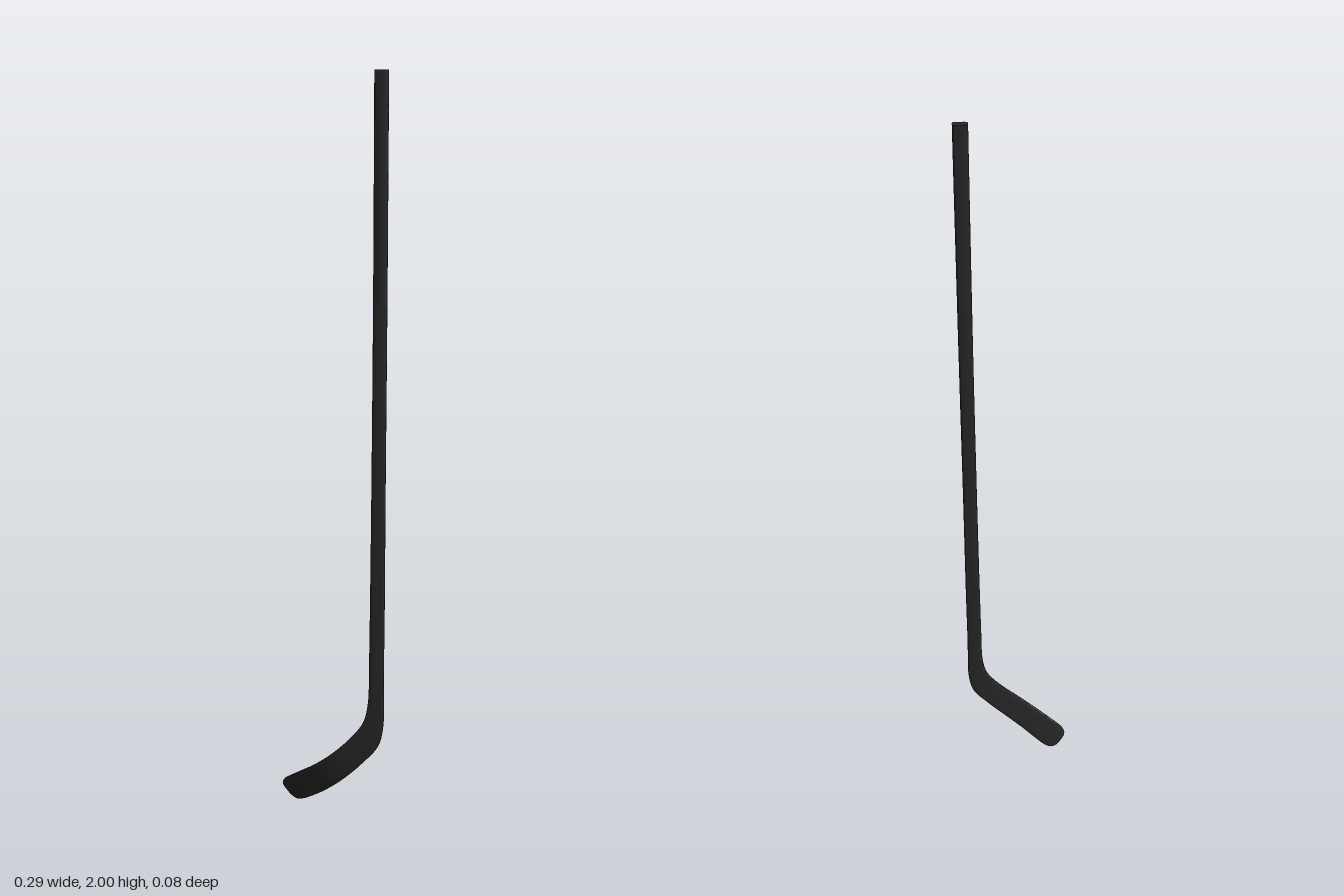
import * as THREE from 'three';
import { toCreasedNormals } from 'three/addons/utils/BufferGeometryUtils.js';

// Stations from butt end to toe: inner/top edge xyz, outer/bottom edge xyz, thickness
const shaftStations = [
  [0.108, 2.0, 0.026, 0.145, 2.0, 0.026, 0.022],
  [0.108, 1.4, 0.026, 0.145, 1.4, 0.026, 0.021],
  [0.106, 0.9, 0.026, 0.144, 0.9, 0.026, 0.018],
  [0.104, 0.6, 0.0265, 0.144, 0.6, 0.0265, 0.016],
  [0.102, 0.4, 0.027, 0.143, 0.4, 0.027, 0.013],
];
const bladeStations = [
  shaftStations[4],
  [0.1, 0.325, 0.027, 0.142, 0.25, 0.027, 0.011],
  [0.087, 0.265, 0.028, 0.128, 0.195, 0.025, 0.01],
  [0.05, 0.215, 0.028, 0.085, 0.143, 0.022, 0.009],
  [0.0, 0.168, 0.027, 0.03, 0.09, 0.015, 0.008],
  [-0.045, 0.133, 0.018, -0.02, 0.05, 0.001, 0.008],
  [-0.09, 0.103, 0.002, -0.06, 0.022, -0.018, 0.008],
  [-0.122, 0.082, -0.011, -0.09, 0.005, -0.032, 0.007],
  [-0.138, 0.07, -0.019, -0.108, 0.003, -0.036, 0.007],
  [-0.146, 0.056, -0.026, -0.124, 0.014, -0.037, 0.006],
  [-0.145, 0.045, -0.03, -0.136, 0.03, -0.034, 0.004],
];

// Skins a rounded-rectangle section along the two edge curves
function loft(stations, steps, capStart, capEnd) {
  const sides = 28;
  const edge = (o) => new THREE.CatmullRomCurve3(
    stations.map((s) => new THREE.Vector3(s[o], s[o + 1], s[o + 2])));
  const inner = edge(0);
  const outer = edge(3);
  const round = (v) => Math.sign(v) * Math.pow(Math.abs(v), 0.45);
  const centre = (t) => inner.getPoint(t).add(outer.getPoint(t)).multiplyScalar(0.5);
  const pos = [];
  const index = [];

  for (let i = 0; i <= steps; i++) {
    const t = i / steps;
    const c = centre(t);
    const u = outer.getPoint(t).sub(c);
    const tangent = centre(Math.min(1, t + 0.01)).sub(centre(Math.max(0, t - 0.01)));
    const f = t * (stations.length - 1);
    const k = Math.min(Math.floor(f), stations.length - 2);
    const thick = THREE.MathUtils.lerp(stations[k][6], stations[k + 1][6], f - k);
    const v = tangent.cross(u).normalize().multiplyScalar(thick / 2);
    for (let j = 0; j < sides; j++) {
      const a = (j / sides) * Math.PI * 2;
      const p = c.clone().addScaledVector(u, round(Math.cos(a))).addScaledVector(v, round(Math.sin(a)));
      pos.push(p.x, p.y, p.z);
    }
  }
  for (let i = 0; i < steps; i++) {
    for (let j = 0; j < sides; j++) {
      const a = i * sides + j;
      const b = i * sides + ((j + 1) % sides);
      index.push(a, b, a + sides, b, b + sides, a + sides);
    }
  }
  // End caps
  const cap = (t, ring, flip) => {
    const m = pos.length / 3;
    pos.push(...centre(t).toArray());
    for (let j = 0; j < sides; j++) {
      const a = ring * sides + j;
      const b = ring * sides + ((j + 1) % sides);
      index.push(m, flip ? b : a, flip ? a : b);
    }
  };
  if (capStart) cap(0, 0, true);
  if (capEnd) cap(1, steps, false);

  const geo = new THREE.BufferGeometry();
  geo.setAttribute('position', new THREE.Float32BufferAttribute(pos, 3));
  geo.setIndex(index);
  return toCreasedNormals(geo, 0.9);
}

export function createModel() {
  const group = new THREE.Group();
  group.name = 'hockeyStick';
  const black = new THREE.MeshStandardMaterial({ color: 0x282828 });
  black.name = 'carbonBlack';

  const shaft = new THREE.Mesh(loft(shaftStations, 16, true, false), black);
  shaft.name = 'shaft';
  const blade = new THREE.Mesh(loft(bladeStations, 60, false, true), black);
  blade.name = 'blade';
  group.add(shaft, blade);
  return group;
}
